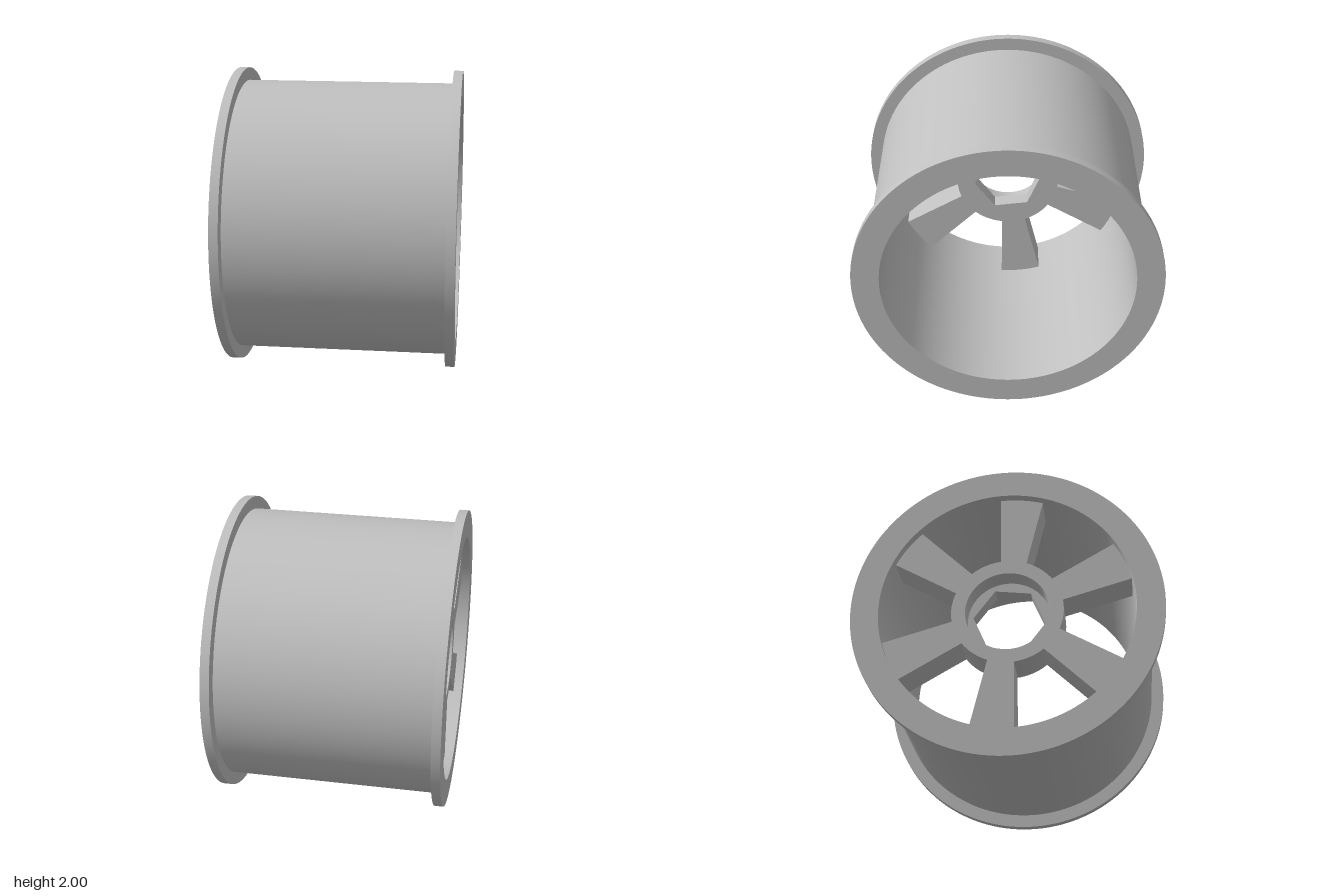
import * as THREE from 'three';
import { toCreasedNormals } from 'three/addons/utils/BufferGeometryUtils.js';

const HALF = 0.755;      // half the length along the axle
const FLANGE = 0.06;     // flange thickness
const BORE = 0.82;       // inside radius of the drum
const HUB = 0.36;        // outside radius of the hub
const TWIST = THREE.MathUtils.degToRad(6.7);

export function createModel() {
  const metal = new THREE.MeshStandardMaterial({ color: 0xc0c0c0 });
  metal.name = 'grey metal';

  const model = new THREE.Group();
  model.name = 'spokedDrum';

  // Inside this group the axle runs along z; it is then turned to lie along x
  const wheel = new THREE.Group();
  wheel.name = 'wheel';
  wheel.rotation.y = Math.PI / 2;
  wheel.position.y = 1;
  model.add(wheel);

  const add = (name, geometry, parent = wheel) => {
    const mesh = new THREE.Mesh(toCreasedNormals(geometry, 0.5), metal);
    mesh.name = name;
    parent.add(mesh);
    return mesh;
  };

  const extrude = (shape, from, to) =>
    new THREE.ExtrudeGeometry(shape, { depth: to - from, bevelEnabled: false, curveSegments: 64 })
      .translate(0, 0, from);

  // Hollow drum with a flange at each end
  const inner = HALF - FLANGE;
  const profile = [
    [BORE, -HALF], [1, -HALF], [1, -inner], [0.915, -inner],
    [0.915, inner], [1, inner], [1, HALF], [BORE, HALF], [BORE, -HALF],
  ].map(([r, y]) => new THREE.Vector2(r, y));
  add('drum', new THREE.LatheGeometry(profile, 128).rotateX(Math.PI / 2));

  // Hub and spokes sit just inside one end
  const core = new THREE.Group();
  core.name = 'hubAndSpokes';
  core.rotation.z = TWIST;
  wheel.add(core);
  const face = -inner;

  const disc = () => new THREE.Shape().absarc(0, 0, HUB, 0, Math.PI * 2, false);

  // Outer half of the hub has a round recess
  const collar = disc();
  collar.holes.push(new THREE.Path().absarc(0, 0, 0.27, 0, Math.PI * 2, true));
  add('hubCollar', extrude(collar, face, face + 0.14), core);

  // Inner half of the hub has a hexagonal hole
  const socket = disc();
  const corners = [];
  for (let i = 0; i < 6; i++) {
    const a = -i * Math.PI / 3;
    corners.push(new THREE.Vector2(Math.cos(a) * 0.236, Math.sin(a) * 0.236));
  }
  socket.holes.push(new THREE.Path(corners));
  add('hubSocket', extrude(socket, face + 0.14, face + 0.25), core);

  // Six spokes widening towards the drum
  const spoke = new THREE.Shape([
    new THREE.Vector2(-0.083, 0.34), new THREE.Vector2(0.083, 0.34),
    new THREE.Vector2(0.143, 0.83), new THREE.Vector2(-0.143, 0.83),
  ]);
  for (let i = 0; i < 6; i++) {
    add('spoke', extrude(spoke, face, face + 0.24), core).rotation.z = i * Math.PI / 3;
  }

  return model;
}
